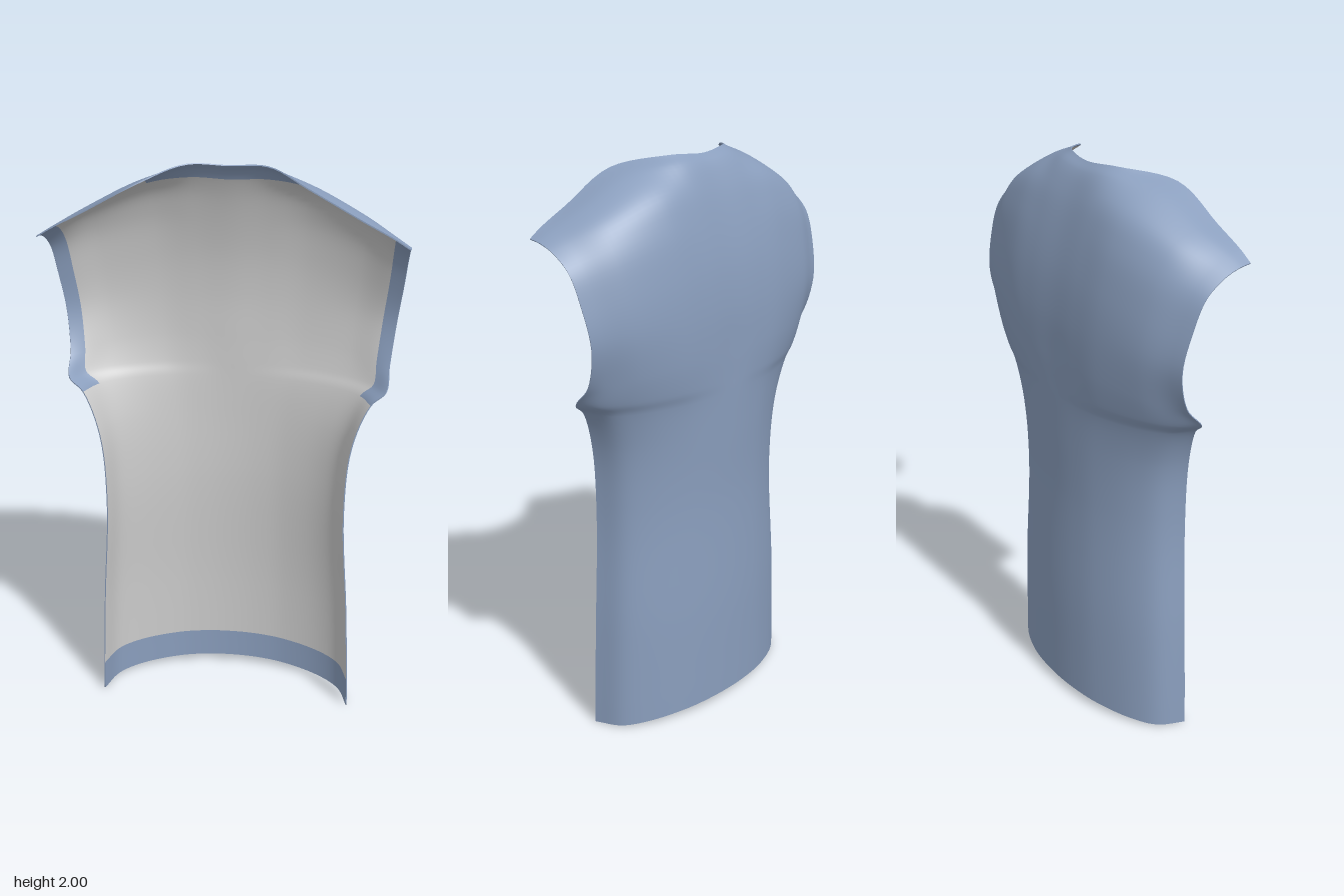
import * as THREE from 'three';

const BLUE = 0x8a9ebd, GREY = 0xcccccc;
const SUB = 6;            // grid cells per control segment
const THICK = 0.004;      // gap between cloth and lining

// Half cross-section, centre back to side edge, as fractions of the half width
const FRACTIONS = [0, 0.22, 0.45, 0.75, 0.92, 1];

// How height and depth run from centre (0) to side edge (1) at the waist, chest and shoulder
const WAIST = { y: [0, 0.03, 0.17, 0.5, 0.8, 1], z: [0, 0.024, 0.107, 0.339, 0.6, 1] };
const CHEST = { y: [0, -0.03, 0.02, 0.48, 0.84, 1], z: [0, -0.02, 0.03, 0.38, 0.81, 1] };
const SHOULDER = { y: [0, -0.034, 0.135, 0.6, 0.855, 1], z: [0, 0.15, 0.86, 0.96, 0.995, 1] };
const SECTIONS = [WAIST, CHEST, SHOULDER];

// Rows from hem to shoulder seam:
// section (0 waist, 1 chest, 2 shoulder), half width, centre y, edge y, centre z, edge z
const ROWS = [
  [0, 0.460, 0.030, 0, -0.155, 0.09],
  [0, 0.457, 0.136, 0.113, -0.156, 0.09],
  [0, 0.445, 0.4, 0.4, -0.157, 0.088],
  [0, 0.423, 0.8, 0.8, -0.149, 0.092],
  [0, 0.442, 1.05, 1.05, -0.157, 0.083],
  [0.1, 0.500, 1.2, 1.2, -0.162, 0.06],
  [0.4, 0.549, 1.25, 1.245, -0.163, 0.045],
  [0.9, 0.556, 1.35, 1.32, -0.165, -0.022],
  [1, 0.572, 1.5, 1.46, -0.165, -0.06],
  [1, 0.590, 1.65, 1.6, -0.150, -0.037],
  [1, 0.600, 1.8, 1.7, -0.116, 0.002],
  [1.12, 0.605, 1.9, 1.755, -0.082, 0.065],
  [1.53, 0.607, 1.965, 1.778, -0.048, 0.12],
  [2, 0.606, 1.992, 1.785, -0.020, 0.165],
];
const ARMPIT = 5 * SUB, HEM = SUB, NECK = Math.round(11.5 * SUB);
const NI = (FRACTIONS.length - 1) * 2 * SUB, NJ = (ROWS.length - 1) * SUB;
const { lerp } = THREE.MathUtils;

// Full row of points from -x to +x, blended between the two nearest sections
function fullRow([section, width, yCentre, yEdge, zCentre, zEdge]) {
  const n = Math.min(Math.floor(section), SECTIONS.length - 2);
  const lower = SECTIONS[n], upper = SECTIONS[n + 1], mix = section - n;
  const half = FRACTIONS.map((f, k) => new THREE.Vector3(
    f * width,
    lerp(yCentre, yEdge, lerp(lower.y[k], upper.y[k], mix)),
    lerp(zCentre, zEdge, lerp(lower.z[k], upper.z[k], mix))));
  const mirrored = half.slice(1).reverse().map(p => new THREE.Vector3(-p.x, p.y, p.z));
  return [...mirrored, ...half];
}

const at = (i, j) => j * (NI + 1) + i;

// Indices of the grid cells that pass a test, facing inward (+z) or outward
function cells(test, outward) {
  const index = [];
  for (let j = 0; j < NJ; j++) for (let i = 0; i < NI; i++) {
    if (!test(i, j)) continue;
    const a = at(i, j), b = at(i + 1, j), c = at(i + 1, j + 1), d = at(i, j + 1);
    if (outward) index.push(a, c, b, a, d, c);
    else index.push(a, b, c, a, c, d);
  }
  return index;
}

// Smooth panel surface: splines up the columns, then across each row
function panelGrid() {
  const rows = ROWS.map(fullRow);
  const columns = rows[0].map((_, k) => new THREE.CatmullRomCurve3(rows.map(r => r[k])));
  const pos = [];
  for (let j = 0; j <= NJ; j++) {
    const across = new THREE.CatmullRomCurve3(columns.map(c => c.getPoint(j / NJ)));
    for (let i = 0; i <= NI; i++) pos.push(...across.getPoint(i / NI).toArray());
  }
  const g = new THREE.BufferGeometry();
  g.setAttribute('position', new THREE.Float32BufferAttribute(pos, 3));
  g.setIndex(cells(() => true, false));
  g.computeVertexNormals();
  return g;
}

export function createModel() {
  const group = new THREE.Group();
  const blue = new THREE.MeshStandardMaterial({ color: BLUE });
  const grey = new THREE.MeshStandardMaterial({ color: GREY });
  const rimMat = new THREE.MeshStandardMaterial({ color: BLUE, side: THREE.DoubleSide });
  const grid = panelGrid();
  const outer = Array.from(grid.attributes.position.array);
  const normals = Array.from(grid.attributes.normal.array);
  const inner = outer.map((p, k) => p + normals[k] * THICK);

  function add(name, positions, norms, index, material) {
    const g = new THREE.BufferGeometry();
    g.setAttribute('position', new THREE.Float32BufferAttribute(positions, 3));
    g.setIndex(index);
    if (norms) g.setAttribute('normal', new THREE.Float32BufferAttribute(norms, 3));
    else g.computeVertexNormals();
    const mesh = new THREE.Mesh(g, material);
    mesh.name = name;
    group.add(mesh);
  }

  // Outer cloth
  add('backPanel', outer, normals.map(n => -n), cells(() => true, true), blue);

  // Inside: facings along hem, armholes and neck, lining elsewhere
  const facings = {
    hemFacing: (i, j) => j < HEM,
    rightArmholeFacing: (i, j) => j >= ARMPIT && i < SUB,
    leftArmholeFacing: (i, j) => j >= ARMPIT && i >= NI - SUB,
    neckFacing: (i, j) => j >= NECK && i >= 3 * SUB && i < NI - 3 * SUB,
  };
  for (const [name, test] of Object.entries(facings)) add(name, inner, normals, cells(test, false), blue);
  const isFacing = (i, j) => Object.values(facings).some(test => test(i, j));
  add('lining', inner, normals, cells((i, j) => !isFacing(i, j), false), grey);

  // Thin edge joining cloth and lining all the way round
  const loop = [];
  for (let i = 0; i < NI; i++) loop.push(at(i, 0));
  for (let j = 0; j < NJ; j++) loop.push(at(NI, j));
  for (let i = NI; i > 0; i--) loop.push(at(i, NJ));
  for (let j = NJ; j > 0; j--) loop.push(at(0, j));
  const rim = [], rimIndex = [];
  loop.forEach((v, k) => {
    rim.push(...outer.slice(v * 3, v * 3 + 3), ...inner.slice(v * 3, v * 3 + 3));
    const a = k * 2, b = ((k + 1) % loop.length) * 2;
    rimIndex.push(a, b, b + 1, a, b + 1, a + 1);
  });
  add('edgeTrim', rim, null, rimIndex, rimMat);

  return group;
}
